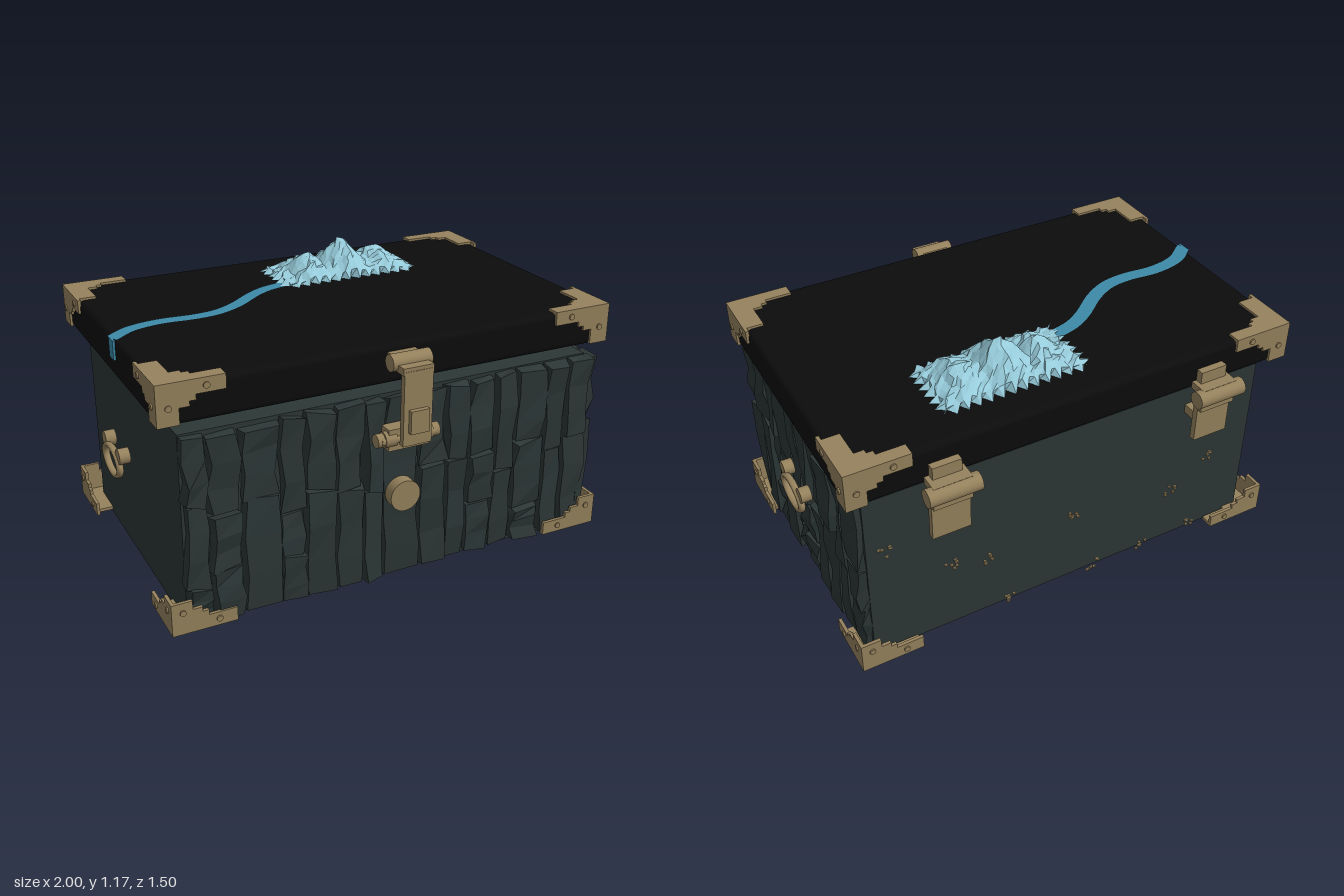
import * as THREE from 'three';
import { RoundedBoxGeometry } from 'three/addons/geometries/RoundedBoxGeometry.js';

const mat = (name, color, extra = {}) => {
  const m = new THREE.MeshStandardMaterial({ color, ...extra });
  m.name = name;
  return m;
};

export function createModel() {
  const model = new THREE.Group();
  model.name = 'chest';
  const stone = mat('dark stone', 0x2c3736, { flatShading: true });
  const black = mat('lid black', 0x0c0c0c);
  const bronze = mat('bronze', 0x96825d);
  const ice = mat('pale ice', 0x96cbda, { flatShading: true, side: THREE.DoubleSide });
  const water = mat('river blue', 0x3c8aa8, { side: THREE.DoubleSide });

  let seed = 7;
  const rnd = (a = 0, b = 1) => {
    seed = (seed * 16807) % 2147483647;
    return a + (b - a) * seed / 2147483647;
  };
  const add = (name, geo, material, x = 0, y = 0, z = 0, parent = model) => {
    const m = new THREE.Mesh(geo, material);
    m.name = name;
    m.position.set(x, y, z);
    parent.add(m);
    return m;
  };
  const group = (name, x = 0, y = 0, z = 0) => {
    const g = new THREE.Group();
    g.name = name;
    g.position.set(x, y, z);
    model.add(g);
    return g;
  };
  // box given by its min and max on each axis
  const box = (name, x0, x1, y0, y1, z0, z1, material, parent = model) =>
    add(name, new THREE.BoxGeometry(x1 - x0, y1 - y0, z1 - z0), material,
      (x0 + x1) / 2, (y0 + y1) / 2, (z0 + z1) / 2, parent);
  // cylinder lying along an axis
  const rod = (name, r, len, axis, x, y, z, parent = model, sides = 20) => {
    const g = new THREE.CylinderGeometry(r, r, len, sides);
    if (axis === 'x') g.rotateZ(Math.PI / 2);
    if (axis === 'z') g.rotateX(Math.PI / 2);
    return add(name, g, bronze, x, y, z, parent);
  };

  // body and lid
  box('body', -0.9, 0.9, 0, 0.81, -0.58, 0.57, stone);
  add('lid', new RoundedBoxGeometry(1.94, 0.162, 1.235, 3, 0.025), black, 0, 0.937, -0.023);

  // rough stone slabs on the front and left walls
  const slab = (w, h, d) => {
    const g = new THREE.BoxGeometry(w, h, d, 1, 3, 1);
    const p = g.attributes.position, moved = {};
    for (let i = 0; i < p.count; i++) {
      const key = [p.getX(i), p.getY(i), p.getZ(i)].map(v => v.toFixed(3)).join();
      const front = p.getZ(i) > 0;
      moved[key] ??= [rnd(-0.012, 0.012), rnd(-0.012, 0.012), front ? rnd(-0.022, 0.006) : 0];
      const [a, b, c] = moved[key];
      p.setXYZ(i, p.getX(i) * (front ? 0.9 : 1) + a, p.getY(i) + b, p.getZ(i) + c);
    }
    g.computeVertexNormals();
    return g;
  };
  const slabWall = (name, x0, x1, columns, depth) => {
    const g = group(name);
    const step = (x1 - x0) / columns;
    let left = x0;
    for (let c = 0; c < columns; c++) {
      const right = c === columns - 1 ? x1 : x0 + step * (c + 1 + rnd(-0.2, 0.2));
      const cuts = [0.015, rnd(0.36, 0.54), 0.8];
      if (rnd() < 0.4) cuts.splice(1, 0, rnd(0.15, 0.26));
      for (let i = 0; i + 1 < cuts.length; i++) {
        const h = cuts[i + 1] - cuts[i], d = rnd(depth * 0.75, depth);
        const s = add('slab', slab(right - left - 0.006, h - 0.006, d), stone,
          (left + right) / 2, (cuts[i] + cuts[i + 1]) / 2, d / 2, g);
        s.rotation.z = rnd(-0.02, 0.02);
      }
      left = right;
    }
    return g;
  };
  slabWall('frontSlabs', -0.9, 0.92, 15, 0.062).position.z = 0.565;
  const side = slabWall('leftSlabs', -0.6, 0.575, 10, 0.055);
  side.rotation.y = Math.PI / 2;
  side.position.x = 0.895;

  // stepped corner brackets: three plates and rivets each
  const T = 0.014;
  const plate = (su, sv, len, high) => {
    const pts = [[0, 0], [len, 0], [len, 0.058], [0.15, 0.058], [0.15, 0.08], [0.125, 0.08],
      [0.125, 0.1], [0.085, 0.1], [0.085, high], [0, high]];
    const s = new THREE.Shape(pts.map(([u, v]) => new THREE.Vector2(-u * su, -v * sv)));
    return new THREE.ExtrudeGeometry(s, { depth: T, bevelEnabled: false }).translate(0, 0, -T / 2);
  };
  const bracket = (name, sx, sy, sz, x, y, z, high) => {
    const g = group(name, x, y, z);
    add('facePlate', plate(sx, sy, 0.265, high), bronze, 0, 0, -sz * T / 2, g);
    add('sidePlate', plate(sz, sy, 0.25, high).rotateY(-Math.PI / 2), bronze, -sx * T / 2, 0, 0, g);
    add('flatPlate', plate(sx, sz, 0.265, 0.225).rotateX(Math.PI / 2), bronze, 0, -sy * T / 2, 0, g);
    for (const [u, v] of [[0.19, 0.03], [0.045, 0.095]]) {
      rod('rivet', 0.013, 0.012, 'z', -sx * u, -sy * v, 0, g, 10);
      rod('rivet', 0.013, 0.012, 'x', 0, -sy * v, -sz * u, g, 10);
    }
  };
  for (const sx of [-1, 1]) for (const sz of [-1, 1]) {
    bracket('lidCorner', sx, 1, sz, sx * 0.98, 1.028, sz > 0 ? 0.604 : -0.65, 0.165);
    bracket('baseCorner', sx, -1, sz, sx * 0.98, 0.01, sz > 0 ? 0.63 : -0.65, 0.138);
  }

  // front latch
  const latch = group('latch');
  rod('latchKnuckle', 0.034, 0.17, 'x', 0, 0.97, 0.655, latch);
  box('latchMount', -0.06, 0.06, 0.945, 0.99, 0.59, 0.65, bronze, latch);
  box('latchArm', -0.065, 0.065, 0.94, 0.97, 0.65, 0.73, bronze, latch);
  box('latchPlate', -0.062, 0.062, 0.65, 0.955, 0.706, 0.732, bronze, latch);
  box('latchBump', -0.04, 0.04, 0.705, 0.8, 0.73, 0.752, bronze, latch);
  box('latchBase', -0.09, 0.09, 0.61, 0.7, 0.61, 0.672, bronze, latch);
  rod('latchBar', 0.016, 0.24, 'x', 0, 0.655, 0.665, latch);
  for (const s of [-1, 1]) {
    rod('latchKnob', 0.033, 0.05, 'x', s * 0.08, 0.655, 0.65, latch);
    rod('latchEnd', 0.028, 0.03, 'x', s * 0.122, 0.655, 0.65, latch);
  }
  rod('frontDisc', 0.066, 0.05, 'z', 0, 0.39, 0.633, model, 32);

  // back hinges
  for (const s of [-1, 1]) {
    const h = group('hinge', s * 0.593);
    rod('hingeKnuckle', 0.037, 0.215, 'x', 0, 0.855, -0.713, h);
    box('hingeLidLeaf', -0.08, 0.08, 0.86, 0.892, -0.72, -0.64, bronze, h);
    box('hingeTop', -0.06, 0.06, 0.885, 0.945, -0.672, -0.64, bronze, h);
    box('hingeNeck', -0.08, 0.08, 0.785, 0.85, -0.715, -0.672, bronze, h);
    box('hingeBodyLeaf', -0.08, 0.08, 0.627, 0.8, -0.694, -0.667, bronze, h);
    box('hingeStem', -0.05, 0.05, 0.685, 0.725, -0.67, -0.575, bronze, h);
  }

  // oval ring handles on both ends
  for (const s of [-1, 1]) {
    const h = group('ringHandle', s * 0.985, 0.465, -0.02);
    const ring = new THREE.TorusGeometry(0.1, 0.015, 10, 36).scale(1, 0.58, 1).rotateY(Math.PI / 2);
    add('ring', ring, bronze, 0, 0, 0, h);
    for (const k of [-1, 1]) rod('ringKnob', 0.033, 0.045, 'x', -s * 0.018, 0.055, k * 0.095, h);
  }

  // mountain range with three peaks and a ragged foot
  const peaks = [[0.04, 0.085, 0.07], [0.21, 0.13, 0.09], [0.38, 0.075, 0.08]];
  const NX = 26, NZ = 14;
  const range = new THREE.PlaneGeometry(0.64, 0.32, NX, NZ).rotateX(-Math.PI / 2);
  const rp = range.attributes.position;
  for (let i = 0; i < rp.count; i++) {
    const col = i % (NX + 1), row = Math.floor(i / (NX + 1));
    let x = rp.getX(i) + 0.2, z = rp.getZ(i), y = 0;
    for (const [px, ph, pw] of peaks) {
      y = Math.max(y, ph * Math.exp(-(((x - px) / pw) ** 2)));
    }
    const edgeX = col === 0 || col === NX, edgeZ = row === 0 || row === NZ;
    const foot = Math.max(0, 1 - Math.abs(z) / 0.17);
    y = edgeX || edgeZ ? 0 : (y + 0.01) * Math.pow(foot, 0.9) + rnd(0, 0.014) * Math.min(1, foot * 3);
    if (edgeX) x += (row % 2 ? -0.022 : 0.016) * Math.sign(x - 0.2);
    if (edgeZ) z += (col % 2 ? -0.025 : 0.016) * Math.sign(z);
    if (!edgeX && !edgeZ) { x += rnd(-0.008, 0.008); z += rnd(-0.008, 0.008); }
    rp.setXYZ(i, x, 1.021 + y, z - 0.345);
  }
  range.computeVertexNormals();
  add('mountains', range, ice);

  // river ribbon across the lid, spilling over its right edge
  const course = new THREE.CatmullRomCurve3([[-0.98, 0.075], [-0.88, 0], [-0.75, -0.03], [-0.6, -0.022],
    [-0.5, -0.035], [-0.4, -0.085], [-0.28, -0.18], [-0.2, -0.225], [-0.08, -0.255]]
    .map(([x, z]) => new THREE.Vector3(x, 1.021, z)));
  const river = new THREE.PlaneGeometry(1, 1, 40, 1);
  const wp = river.attributes.position;
  for (let i = 0; i < wp.count; i++) {
    const t = (i % 41) / 40, s = i > 40 ? 0.03 : -0.03;
    const p = course.getPointAt(t), d = course.getTangentAt(t);
    wp.setXYZ(i, Math.max(-0.98, p.x - d.z * s), p.y, p.z + d.x * s);
  }
  river.computeVertexNormals();
  add('river', river, water);
  box('riverSpill', -0.979, -0.969, 0.94, 1.021, 0.045, 0.1, water);

  // small bronze flecks behind the back wall
  const flecks = group('flecks');
  for (const [x, y] of [[0.84, 0.57], [0.57, 0.37], [0.39, 0.33], [0, 0.39], [-0.48, 0.31], [-0.67, 0.42],
    [0.3, 0.05], [-0.1, 0.05], [-0.35, 0.05], [-0.6, 0.07]]) {
    for (let i = 0; i < 6; i++) {
      add('fleck', new THREE.BoxGeometry(0.014, 0.008, 0.008), bronze,
        x + rnd(-0.03, 0.03), y + rnd(-0.025, 0.025), -0.62 + rnd(-0.006, 0.006), flecks);
    }
  }
  return model;
}
